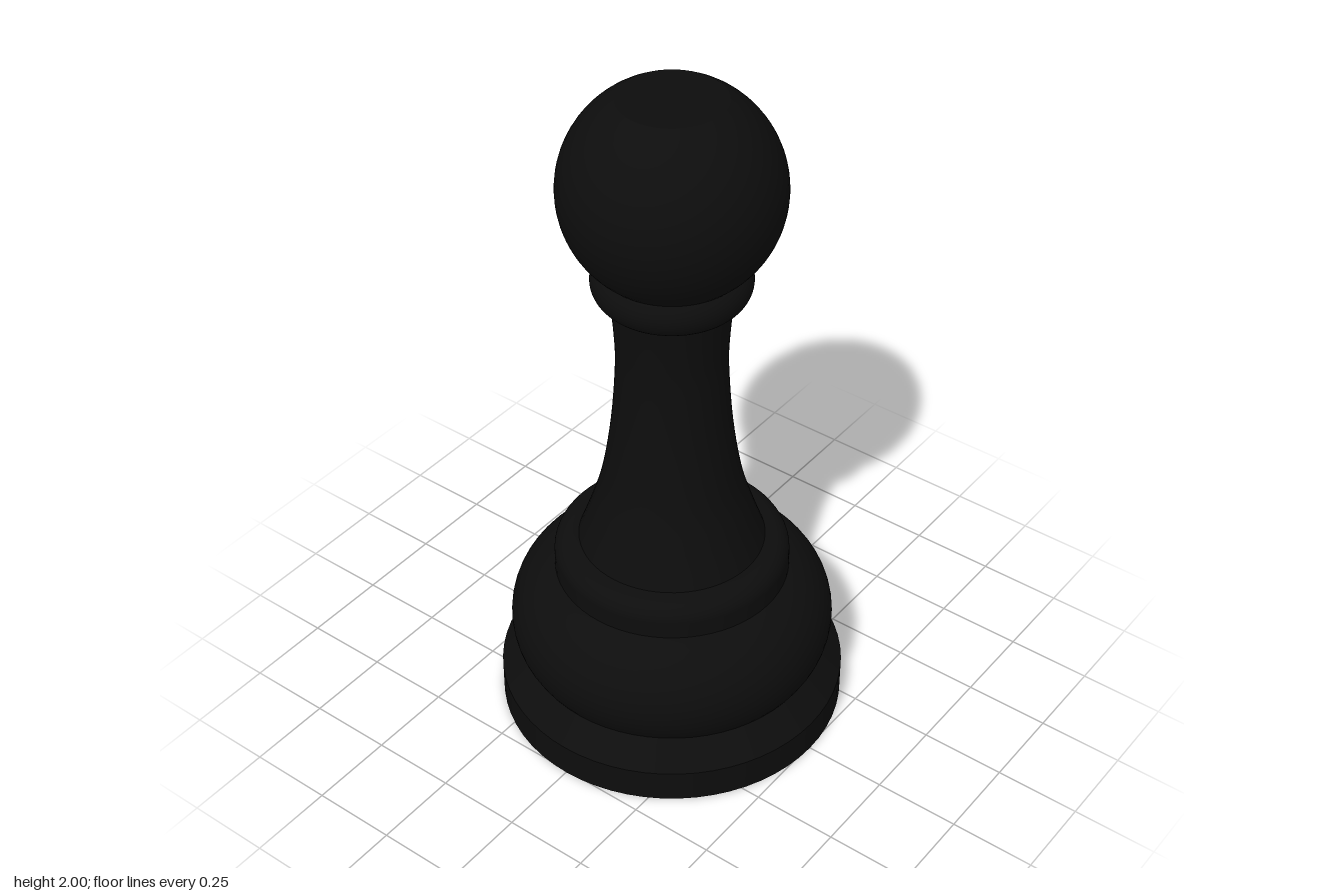
import * as THREE from 'three';

const SEGMENTS = 64;

// Points along an arc in the (radius, height) plane, angles in degrees
function arc(cx, cy, r, from, to, steps) {
  return Array.from({ length: steps + 1 }, (_, i) => {
    const a = THREE.MathUtils.degToRad(from + ((to - from) * i) / steps);
    return [Math.max(0, cx + r * Math.cos(a)), cy + r * Math.sin(a)];
  });
}

export function createModel() {
  const group = new THREE.Group();
  group.name = 'pawn';
  const material = new THREE.MeshStandardMaterial({ color: 0x0d0d0d, side: THREE.DoubleSide });

  // Turned part from a bottom-to-top profile
  const turn = (name, profile) => {
    const points = profile.map(([r, y]) => new THREE.Vector2(r, y));
    const mesh = new THREE.Mesh(new THREE.LatheGeometry(points, SEGMENTS), material);
    mesh.name = name;
    group.add(mesh);
  };

  // Underside with a shallow hollow
  turn('underside', [[0, 0.05], [0.11, 0.045], [0.3, 0.025], [0.46, 0], [0.507, 0]]);

  // Plinth: straight rim, then a bevel
  turn('plinthRim', [[0.507, 0], [0.507, 0.1]]);
  turn('plinthBevel', [[0.507, 0.1], [0.437, 0.173]]);

  // Rounded foot
  turn('foot', arc(0.275, 0.285, 0.197, -35, 90, 20));

  // Ring under the stem
  turn('lowerRing', [[0.34, 0.46], ...arc(0.287, 0.523, 0.053, 0, 90, 10), [0.24, 0.576]]);

  // Flared stem
  const stem = new THREE.SplineCurve([
    [0.27, 0.572], [0.232, 0.68], [0.198, 0.8], [0.17, 0.98],
    [0.156, 1.17], [0.158, 1.28], [0.17, 1.42],
  ].map(([r, y]) => new THREE.Vector2(r, y)));
  turn('stem', stem.getPoints(30).map((p) => [p.x, p.y]));

  // Collar under the head
  turn('collar', arc(0.155, 1.457, 0.065, -90, 90, 18));

  // Head: ball with a flat top at y = 2
  const head = { y: 1.733, r: 0.305 };
  const cut = THREE.MathUtils.radToDeg(Math.asin((2 - head.y) / head.r));
  const ball = arc(0, head.y, head.r, -90, cut, 32);
  turn('head', ball);
  turn('headTop', [ball[ball.length - 1], [0, 2]]);

  return group;
}
